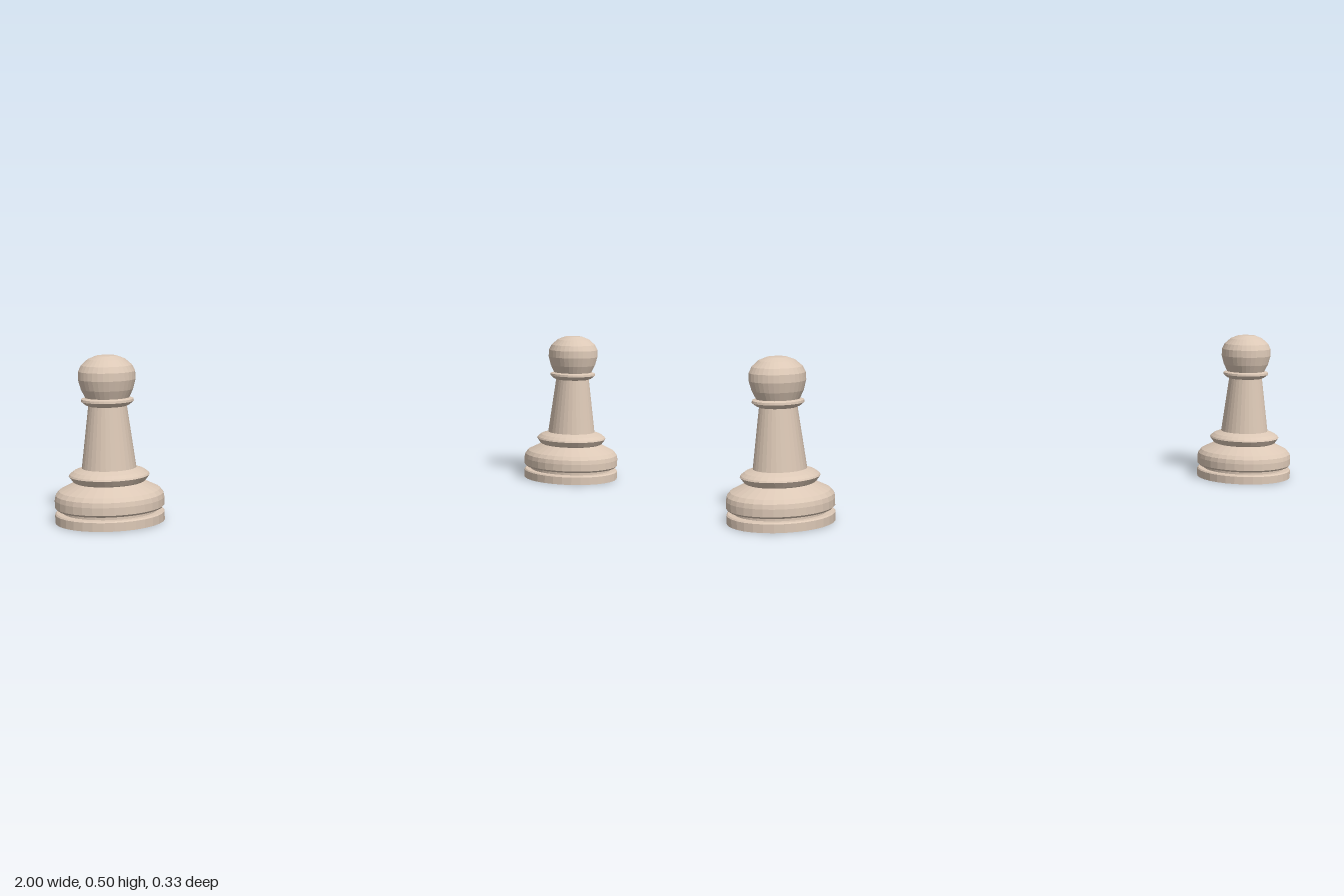
import * as THREE from 'three';

const SEGMENTS = 32;

// Profiles as [radius, height], listed from bottom to top
const PROFILES = {
  foot: [[0, 0], [0.163, 0], [0.163, 0.026], [0.159, 0.03], [0.14, 0.03]],
  groove: [[0.14, 0.03], [0.14, 0.039]],
  base: [[0.14, 0.039], [0.157, 0.041], [0.163, 0.047], [0.163, 0.07], [0.16, 0.084], [0.15, 0.096], [0.102, 0.12]],
  collar: [[0.102, 0.12], [0.108, 0.123], [0.12, 0.14], [0.117, 0.145], [0.105, 0.154], [0.081, 0.163]],
  stem: [[0.081, 0.163], [0.057, 0.35]],
  neckRing: [[0.057, 0.35], [0.066, 0.354], [0.078, 0.364], [0.077, 0.371], [0.065, 0.375]],
  head: [[0.065, 0.375], [0.077, 0.4], [0.085, 0.43], [0.084, 0.454], [0.075, 0.472], [0.055, 0.49], [0.03, 0.5], [0, 0.501]],
};

function createPawn(material) {
  const pawn = new THREE.Group();
  for (const [name, profile] of Object.entries(PROFILES)) {
    const points = profile.map(([r, y]) => new THREE.Vector2(r, y));
    const mesh = new THREE.Mesh(new THREE.LatheGeometry(points, SEGMENTS), material);
    mesh.name = name;
    pawn.add(mesh);
  }
  return pawn;
}

export function createModel() {
  const model = new THREE.Group();
  model.name = 'pawnPair';
  const material = new THREE.MeshStandardMaterial({ color: 0xdcc8b6, flatShading: true });

  // Two identical pawns, one at each end
  for (const side of [-1, 1]) {
    const pawn = createPawn(material);
    pawn.name = side > 0 ? 'leftPawn' : 'rightPawn';
    pawn.position.x = side * 0.837;
    model.add(pawn);
  }
  return model;
}
